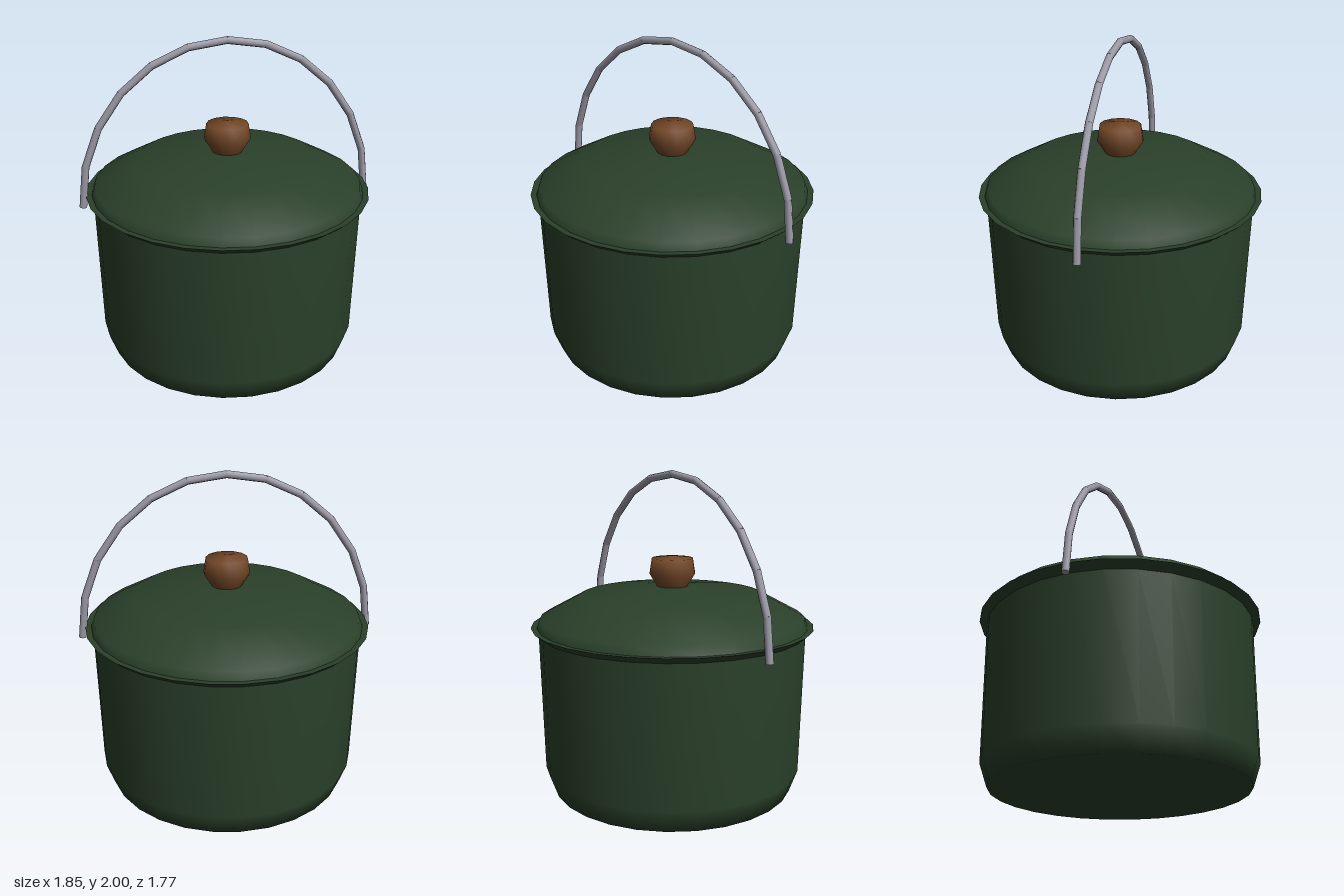
import * as THREE from 'three';

const material = (name, color) => {
  const m = new THREE.MeshStandardMaterial({ color });
  m.name = name;
  return m;
};

export function createModel() {
  const green = material('dark green enamel', 0x2a402a);
  const wood = material('brown wood', 0x704526);
  const steel = material('grey steel', 0x9c9aa6);
  const model = new THREE.Group();
  model.name = 'lidded pot';

  const turned = (name, profile, sides, mat) => {
    const points = profile.map(([r, y]) => new THREE.Vector2(r, y));
    const mesh = new THREE.Mesh(new THREE.LatheGeometry(points, sides), mat);
    mesh.name = name;
    model.add(mesh);
  };

  // Pot body with a tapered foot
  turned('body', [[0, 0], [0.77, 0], [0.82, 0.14], [0.838, 1.01]], 28, green);
  // Flared rim with a narrow flat lip
  turned('rim', [[0.838, 1.01], [0.885, 1.05]], 28, green);
  turned('lip', [[0.885, 1.05], [0.82, 1.048]], 28, green);
  // Domed lid
  turned('lid', [[0.85, 1.045], [0.83, 1.10], [0.57, 1.24], [0.17, 1.29], [0, 1.29]], 28, green);
  // Lid knob
  turned('knob', [[0.09, 1.28], [0.145, 1.37], [0.13, 1.465], [0, 1.48]], 14, wood);

  // Bail handle: straight rods along a half ellipse
  const handle = new THREE.Group();
  handle.name = 'handle';
  const steps = 12;
  const at = (i) => {
    const a = (Math.PI * i) / steps;
    return new THREE.Vector3(0.904 * Math.cos(a), 0.98 + 0.998 * Math.sin(a), 0);
  };
  const up = new THREE.Vector3(0, 1, 0);
  for (let i = 0; i < steps; i++) {
    const a = at(i), b = at(i + 1);
    const dir = b.clone().sub(a);
    const rod = new THREE.Mesh(new THREE.CylinderGeometry(0.023, 0.023, dir.length() + 0.004, 8), steel);
    rod.name = 'handleRod';
    rod.position.copy(a).add(b).multiplyScalar(0.5);
    rod.quaternion.setFromUnitVectors(up, dir.normalize());
    handle.add(rod);
  }
  model.add(handle);
  return model;
}
